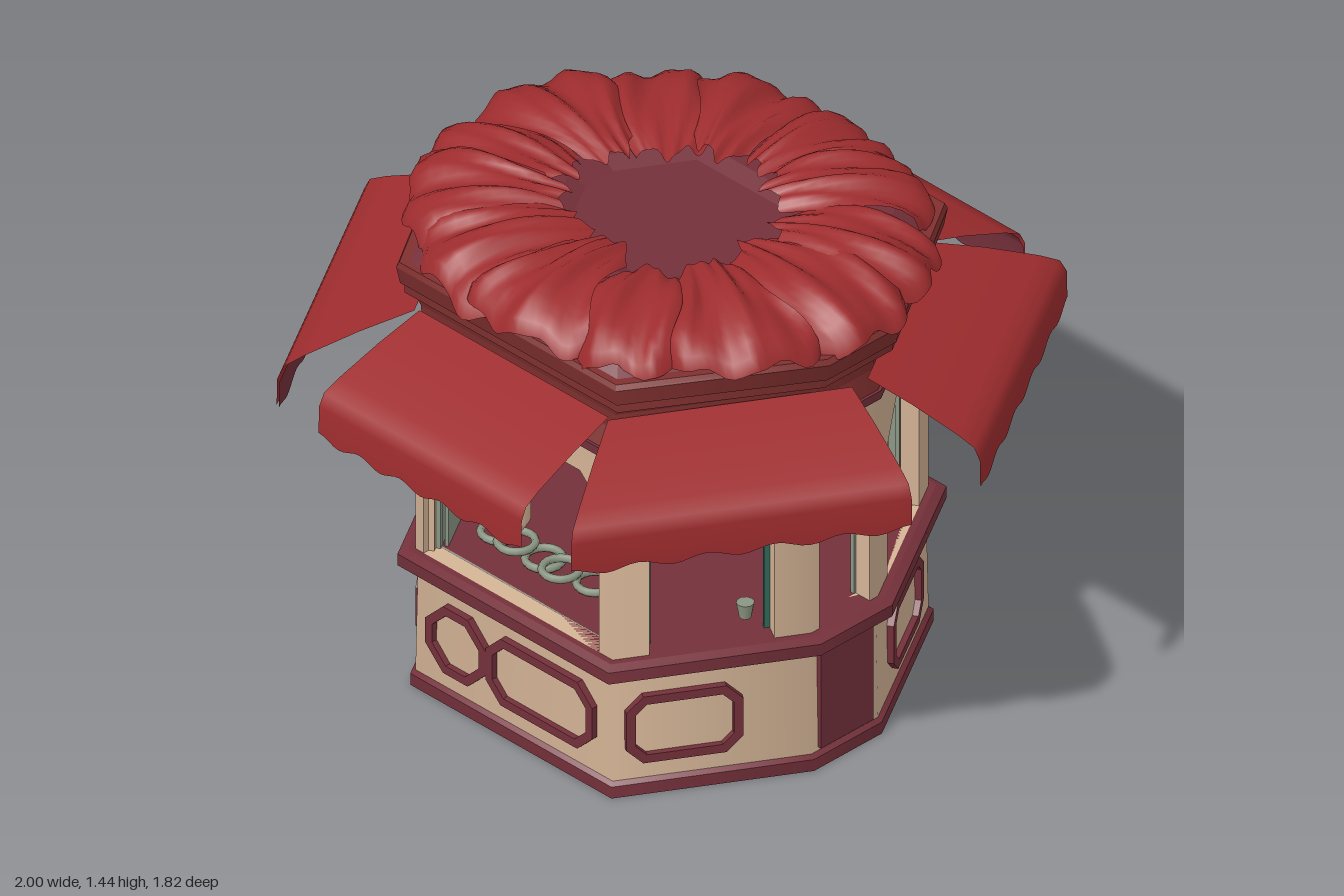
import * as THREE from 'three';

const mat = (name, color, side = THREE.FrontSide) => {
  const m = new THREE.MeshStandardMaterial({ color, side });
  m.name = name;
  return m;
};

export function createModel() {
  const red = mat('awning red', 0x9e2c2e, THREE.DoubleSide);
  const trim = mat('dark red trim', 0x74303a);
  const maroon = mat('cornice red', 0x80302f);
  const lining = mat('awning lining', 0x74303a, THREE.BackSide);
  const cream = mat('cream wall', 0xd4b496);
  const sage = mat('grey green', 0x8b9684, THREE.DoubleSide);
  const teal = mat('teal', 0x32695a);
  const iron = mat('dark iron', 0x4a403a);

  const root = new THREE.Group();
  root.name = 'kiosk';
  const add = (parent, name, geo, m, x = 0, y = 0, z = 0) => {
    const mesh = new THREE.Mesh(geo, m);
    mesh.name = name;
    mesh.position.set(x, y, z);
    parent.add(mesh);
    return mesh;
  };
  const box = (parent, name, w, h, d, m, x, y, z) =>
    add(parent, name, new THREE.BoxGeometry(w, h, d), m, x, y, z);
  let seed = 7;
  const rnd = () => (seed = (seed * 16807) % 2147483647) / 2147483647 - 0.5;

  // Eight-cornered floor plan, counter-clockwise from the front left corner
  const plan = [[-0.36, 0.57], [0.36, 0.57], [0.63, 0.12], [0.63, -0.12],
    [0.36, -0.57], [-0.36, -0.57], [-0.63, -0.12], [-0.63, 0.12]];

  // Blend outward normals around the plan so the corners shade softly
  function soften(g, matrix = new THREE.Matrix4()) {
    const pos = g.attributes.position, nor = g.attributes.normal;
    const back = matrix.clone().invert();
    const p = new THREE.Vector3(), n = new THREE.Vector3(), out = new THREE.Vector3();
    for (let i = 0; i < pos.count; i++) {
      p.fromBufferAttribute(pos, i).applyMatrix4(matrix);
      n.fromBufferAttribute(nor, i).transformDirection(matrix);
      out.set(p.x / 0.4, 0, p.z / 0.325).normalize();
      const flat = Math.hypot(n.x, n.z);
      if (n.dot(out) < 0.7 * flat || flat < 0.3) continue;
      out.multiplyScalar(flat).setY(n.y).transformDirection(back);
      nor.setXYZ(i, out.x, out.y, out.z);
    }
    return g;
  }

  // Solid through scaled copies of the plan: rows of [x scale, y, z scale]
  function loft(rows) {
    const p = [];
    const at = ([sx, y, sz = sx], i) => [plan[i % 8][0] * sx, y, plan[i % 8][1] * sz];
    const lo = rows[0], hi = rows[rows.length - 1];
    for (let i = 0; i < 8; i++) {
      for (let j = 0; j + 1 < rows.length; j++) {
        const a = at(rows[j], i), b = at(rows[j], i + 1);
        const c = at(rows[j + 1], i + 1), d = at(rows[j + 1], i);
        p.push(...a, ...b, ...c, ...a, ...c, ...d);
      }
      p.push(0, hi[1], 0, ...at(hi, i), ...at(hi, i + 1));
      p.push(0, lo[1], 0, ...at(lo, i + 1), ...at(lo, i));
    }
    const g = new THREE.BufferGeometry();
    g.setAttribute('position', new THREE.Float32BufferAttribute(p, 3));
    g.computeVertexNormals();
    return soften(g);
  }

  // Smooth sheet from a function of u and v in 0..1
  function sheet(nu, nv, f) {
    const g = new THREE.PlaneGeometry(1, 1, nu, nv);
    const pos = g.attributes.position;
    for (let i = 0; i < pos.count; i++) pos.setXYZ(i, ...f(pos.getX(i) + 0.5, pos.getY(i) + 0.5));
    g.computeVertexNormals();
    return g;
  }

  // Rectangle with cut corners
  function cutRect(Type, w, h, cx, cy, top, bottom = top) {
    const l = cx - w / 2, r = cx + w / 2, b = cy - h / 2, t = cy + h / 2;
    return new Type([[l + bottom, b], [r - bottom, b], [r, b + bottom], [r, t - top],
      [r - top, t], [l + top, t], [l, t - top], [l, b + bottom]].map(q => new THREE.Vector2(...q)));
  }
  const extrude = (shape, depth) => new THREE.ExtrudeGeometry(shape, { depth, bevelEnabled: false });

  // Plinth, lower body, counter, cornice and roof deck
  add(root, 'plinth', loft([[1.02, 0], [1.02, 0.035], [1.0, 0.045]]), trim);
  add(root, 'lowerWall', loft([[1.0, 0.045], [0.99, 0.37]]), cream);
  add(root, 'counterLedge', loft([[1.02, 0.365], [1.07, 0.375], [1.07, 0.41], [1.03, 0.42]]), trim);
  add(root, 'corniceBand', loft([[1.015, 1.035], [1.015, 1.06]]), trim);
  add(root, 'cornice', loft([[1.005, 1.05], [0.98, 1.12, 0.97], [0.985, 1.17, 0.975], [1.02, 1.2, 0.99],
    [1.08, 1.205, 1.02], [1.08, 1.23, 1.02], [1.1, 1.235, 1.035], [1.115, 1.285, 1.05], [1.1, 1.3, 1.04]]), maroon);
  add(root, 'roofDeck', loft([[1.09, 1.29, 1.03], [0.9, 1.34], [0.5, 1.36], [0.42, 1.34]]), trim);

  // Openings per face: [width, height, centre x, centre y, top cut]
  const diagonal = [0.33, 0.49, 0, 0.665, 0.09], side = [0.18, 0.47, 0, 0.655, 0.07];
  const openings = [[0.64, 0.53, -0.01, 0.685, 0.07], diagonal, side, diagonal,
    [0.57, 0.22, 0.05, 0.78, 0.01], diagonal, side, diagonal];
  const names = ['front', 'frontLeft', 'left', 'backLeft', 'back', 'backRight', 'right', 'frontRight'];

  plan.forEach(([ax, az], i) => {
    const [bx, bz] = plan[(i + 1) % 8];
    const dx = bx - ax, dz = bz - az, len = Math.hypot(dx, dz);
    const straight = i % 4 === 0;
    const face = new THREE.Group();
    face.name = names[i] + 'Side';
    face.position.set((ax + bx) / 2, 0, (az + bz) / 2);
    face.rotation.y = Math.atan2(-dz, dx);
    face.updateMatrix();
    root.add(face);

    // Upper wall around the opening, with an inner lining
    const [ow, oh, ox, oy, cut] = openings[i];
    const wall = (w, h, y, inset) => {
      const s = cutRect(THREE.Shape, w, h, 0, y, 0);
      s.holes.push(cutRect(THREE.Path, ow - inset, oh - inset, ox, oy - inset / 2, cut, 0));
      return s;
    };
    add(face, 'upperWall', soften(extrude(wall(len, 0.64, 0.73, 0), 0.05).translate(0, 0, -0.05), face.matrix), cream);
    add(face, 'innerLining', extrude(wall(len - 0.03, 0.64, 0.73, i === 1 ? 0.03 : 0.012), 0.012),
      i === 1 ? teal : sage, 0, 0, -0.063);
    if (i >= 5) box(face, 'closedPanel', len - 0.06, 0.58, 0.01, i === 5 ? teal : sage, 0, 0.7, -0.075);

    // Framed panels on the lower wall, with a door on each narrow side
    const panel = (x, w, c) => {
      const s = cutRect(THREE.Shape, w, 0.205, x, 0.2, c);
      s.holes.push(cutRect(THREE.Path, w - 0.05, 0.155, x, 0.2, c - 0.015));
      add(face, 'panelFrame', extrude(s, 0.03), trim, 0, 0, -0.015);
    };
    if (straight) {
      const m = i ? -1 : 1;
      panel(-0.2 * m, 0.22, 0.065);
      panel(0.105 * m, 0.39, 0.055);
    } else if (i % 2) {
      panel(i === 1 ? -0.075 : i === 7 ? 0.05 : 0, 0.31, 0.045);
    } else {
      box(face, 'door', 0.19, 0.31, 0.02, i === 2 ? trim : sage, 0, 0.21, 0);
    }

    // Awning with a rounded shoulder and scalloped valance
    if (straight || i % 2) {
      const toSide = i % 4 === 1 ? 1 : -1;
      const outer = straight ? 0.37 : 0.45, reach = straight ? 0.338 : 0.318;
      const steps = [[0, 1.165], [0.4, 1.125], [0.8, 1.075], [0.95, 1.05], [1, 1.015], [1.005, 0.925]];
      const awning = sheet(40, 5, (u, v) => {
        const [d, y] = steps[Math.round((1 - v) * 5)];
        const s = u * 2 - 1;
        const inner = straight ? 0.345 : s * toSide > 0 ? 0.37 : 0.275;
        const wave = v < 0.1 ? 0.01 * Math.cos(u * Math.PI * 10) : 0;
        return [s * (inner + (outer - inner) * d), y + wave, d * reach];
      });
      add(face, 'awning', awning, red);
      add(face, 'awningLining', awning, lining, 0, -0.008, -0.006);
    }
  });

  // Crumpled cloth flaps ringed around the roof, with a curled outer lip
  const flaps = 13;
  for (let k = 0; k < flaps; k++) {
    const mid = (k / flaps) * Math.PI * 2 + rnd() * 0.12;
    const span = 0.32 + rnd() * 0.08, lift = (k % 2) * 0.014, rin = 0.265 + rnd() * 0.08;
    const phase = rnd() * 6, tilt = rnd() * 0.04;
    add(root, 'roofFlap', sheet(20, 12, (u, v) => {
      const s = u * 2 - 1, t = 1 - v;
      const a = mid + s * span * (0.88 + 0.12 * Math.cos(t * 5 + phase));
      const edge = 1 / Math.hypot(Math.cos(a) / 0.725, Math.sin(a) / 0.645);
      const rout = edge * (1 - 0.07 * s ** 4 + 0.015 * Math.sin(s * 7 + phase));
      const r0 = rin + 0.06 * s * s + 0.02 * Math.sin(s * 6 + phase);
      const r = r0 + (rout - r0) * Math.min(1, t * 1.05);
      const arch = 1.385 + 0.13 * t * (1 - t) - 0.035 * t * t - 0.04 * t ** 9;
      const pleat = 0.015 * Math.sin(s * 6 + phase + t * 2) * (0.4 + t * 0.6) + 0.006 * Math.sin(s * 13 - t * 5);
      return [Math.cos(a) * r, arch + pleat + lift + tilt * s - 0.016 * s * s, Math.sin(a) * r];
    }), red);
  }

  // Hanging lanterns, two in front and three behind
  const v2 = list => list.map(q => new THREE.Vector2(...q));
  const body = new THREE.LatheGeometry(v2([[0, 0.715], [0.02, 0.72], [0.034, 0.74], [0.037, 0.75], [0.037, 0.835], [0.028, 0.855]]), 8);
  const cap = new THREE.LatheGeometry(v2([[0.038, 0.84], [0.032, 0.86], [0.014, 0.878], [0.008, 0.9], [0, 0.905]]), 8);
  for (const [x, z] of [[-0.38, 0.63], [0.07, 0.63], [0.18, -0.625], [-0.005, -0.635], [-0.23, -0.64]]) {
    const lantern = new THREE.Group();
    lantern.name = 'lantern';
    lantern.position.set(x, 0, z);
    root.add(lantern);
    add(lantern, 'lanternBody', body, cream);
    add(lantern, 'lanternCap', cap, iron);
  }

  // Teal frame of the serving hatch at the back
  for (const z of [-0.572, -0.495]) {
    for (const y of [0.675, 0.885]) box(root, 'hatchRail', 0.6, 0.03, 0.02, teal, -0.05, y, z);
    for (const x of [-0.335, 0.235]) box(root, 'hatchStile', 0.03, 0.23, 0.02, teal, x, 0.78, z);
  }
  box(root, 'hatchShutter', 0.14, 0.22, 0.02, teal, -0.26, 0.78, -0.495);
  box(root, 'hatchEnd', 0.07, 0.22, 0.02, teal, 0.205, 0.78, -0.495);

  // Shelves, worktop and cupboards inside
  box(root, 'worktop', 0.5, 0.015, 0.14, teal, -0.07, 0.5, -0.42);
  box(root, 'worktopFront', 0.5, 0.07, 0.01, sage, -0.07, 0.457, -0.37);
  box(root, 'counterRim', 0.5, 0.02, 0.02, teal, -0.07, 0.43, -0.36);
  box(root, 'shelf', 0.48, 0.012, 0.08, sage, -0.07, 0.59, -0.46);
  box(root, 'cupboard', 0.12, 0.56, 0.1, sage, 0.245, 0.7, -0.43);
  box(root, 'cornerCupboard', 0.04, 0.46, 0.11, teal, 0.32, 0.65, -0.29);

  // Small wares
  const ring = new THREE.TorusGeometry(0.05, 0.011, 6, 16).rotateX(Math.PI / 2);
  const cup = new THREE.CylinderGeometry(0.024, 0.016, 0.045, 10);
  for (let k = 0; k < 5; k++) {
    add(root, 'ringBread', ring, sage, -0.25 + k * 0.085, 0.435 + (k % 2) * 0.02, 0.38 + rnd() * 0.14);
    add(root, 'cup', cup, sage, -0.25 + k * 0.09, 0.53, -0.42 + rnd() * 0.06);
  }
  add(root, 'bowl', cup, sage, -0.2, 0.71, -0.47);
  add(root, 'sideCup', cup, sage, 0.47, 0.455, 0.2);
  return root;
}
